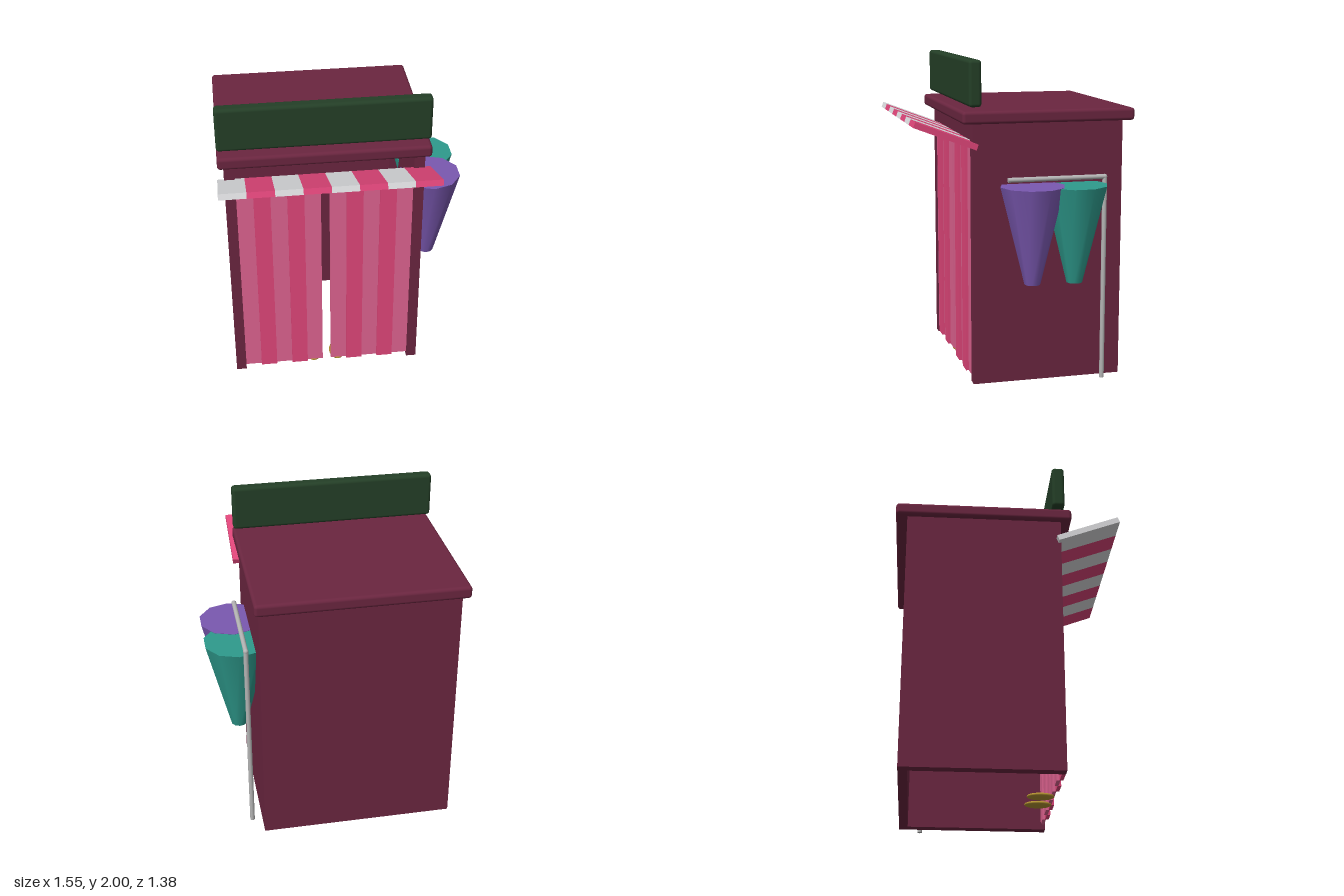
import * as THREE from 'three';
import { RoundedBoxGeometry } from 'three/addons/geometries/RoundedBoxGeometry.js';

const mat = (name, color) => {
  const m = new THREE.MeshStandardMaterial({ color });
  m.name = name;
  return m;
};

export function createModel() {
  const maroon = mat('maroon', 0x6b2640);
  const green = mat('darkGreen', 0x243f27);
  const pink = mat('pink', 0xe0467a);
  const rose = mat('rose', 0xdf6390);
  const white = mat('offWhite', 0xdcdddf);
  const purple = mat('purple', 0x7a58b0);
  const teal = mat('teal', 0x2e9a8c);
  const metal = mat('metal', 0xb4b4b4);
  const gold = mat('gold', 0xb09030);

  const model = new THREE.Group();
  model.name = 'curtainBooth';

  const add = (name, geometry, material, x, y, z, parent = model) => {
    const mesh = new THREE.Mesh(geometry, material);
    mesh.name = name;
    mesh.position.set(x, y, z);
    parent.add(mesh);
    return mesh;
  };
  // Box given by its limits on each axis
  const span = (name, material, [x0, x1], [y0, y1], [z0, z1], round = 0) => {
    const size = [x1 - x0, y1 - y0, z1 - z0];
    const geometry = round ? new RoundedBoxGeometry(...size, 3, round) : new THREE.BoxGeometry(...size);
    return add(name, geometry, material, (x0 + x1) / 2, (y0 + y1) / 2, (z0 + z1) / 2);
  };

  // Cabin: two sides and a back, open at the front and underneath
  span('rightWall', maroon, [-0.735, -0.67], [0, 1.63], [-0.62, 0.325]);
  span('leftWall', maroon, [0.415, 0.48], [0, 1.63], [-0.62, 0.325]);
  span('backWall', maroon, [-0.67, 0.415], [0, 1.63], [-0.62, -0.565]);
  span('roof', maroon, [-0.77, 0.51], [1.62, 1.697], [-0.69, 0.39], 0.02);
  span('signBoard', green, [-0.77, 0.51], [1.722, 2], [0.273, 0.35], 0.02);

  // Two curtains of alternating folds, the darker folds standing forward
  for (const [side, start] of [['right', -0.67], ['left', -0.1]]) {
    for (let i = 0; i < 5; i++) {
      const x = start + i * 0.103;
      const forward = i % 2 === 1;
      span(`${side}CurtainFold${i + 1}`, forward ? pink : rose, [x, x + 0.103],
        [0.035, forward ? 1.48 : 1.472], forward ? [0.315, 0.337] : [0.298, 0.32]);
    }
  }

  // Striped awning, tilted up towards the front
  const awning = new THREE.Group();
  awning.name = 'awning';
  awning.position.set(-0.1275, 1.557, 0.492);
  awning.rotation.x = -0.366;
  model.add(awning);
  const stripe = 1.295 / 8;
  for (let i = 0; i < 8; i++) {
    add(`awningStripe${i + 1}`, new THREE.BoxGeometry(stripe, 0.036, 0.405),
      i % 2 ? pink : white, (i - 3.5) * stripe, 0, 0, awning);
  }

  // Rail with two hanging cones beside the cabin
  const rod = (length) => new THREE.CylinderGeometry(0.015, 0.015, length, 12);
  add('railPost', rod(1.285), metal, 0.545, 0.6425, -0.487);
  add('railBar', rod(0.61), metal, 0.545, 1.285, -0.182).rotation.x = Math.PI / 2;
  add('railCorner', new THREE.SphereGeometry(0.016, 12, 8), metal, 0.545, 1.285, -0.487);
  const cone = new THREE.CylinderGeometry(0.2, 0.05, 0.605, 10);
  add('purpleCone', cone, purple, 0.583, 0.948, -0.02);
  add('tealCone', cone, teal, 0.583, 0.946, -0.287);

  // Pair of shoes behind the curtains
  for (const [name, x] of [['rightShoe', -0.21], ['leftShoe', -0.05]]) {
    add(name, new THREE.SphereGeometry(1, 16, 10), gold, x, 0.018, 0.23).scale.set(0.053, 0.018, 0.085);
  }

  return model;
}
